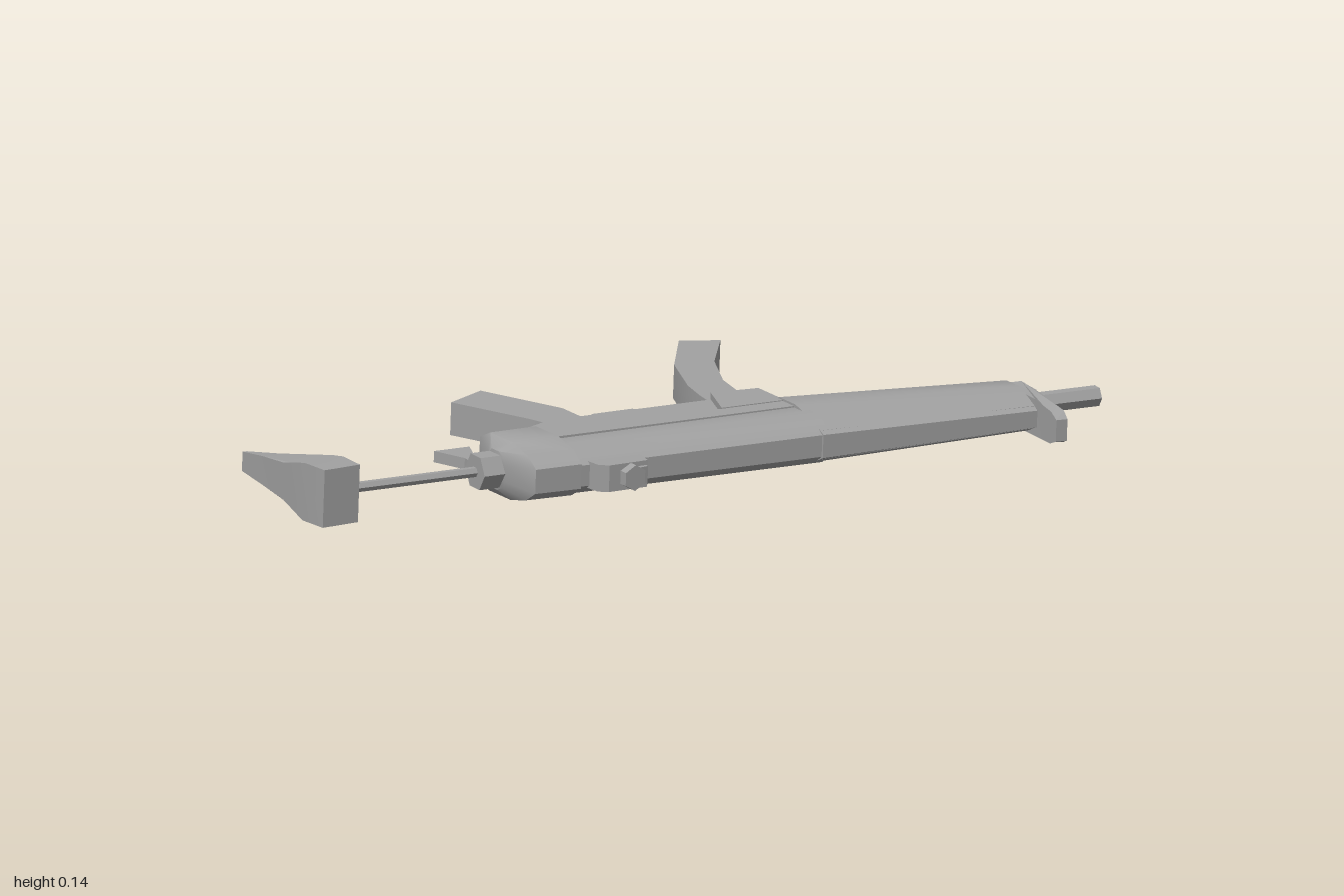
import * as THREE from 'three';
import { toCreasedNormals } from 'three/addons/utils/BufferGeometryUtils.js';

const grey = new THREE.MeshStandardMaterial({ color: 0xa0a0a0 });
grey.name = 'grey';

export function createModel() {
  const model = new THREE.Group();
  model.name = 'model';
  // the whole model lies on its side with a slight roll
  const body = new THREE.Group();
  body.name = 'body';
  body.rotation.x = 0.058;
  body.position.y = 0.083;
  model.add(body);

  function add(name, geometry, crease = 0.6) {
    const mesh = new THREE.Mesh(toCreasedNormals(geometry, crease), grey);
    mesh.name = name;
    body.add(mesh);
    return mesh;
  }

  // plan outline [x, z] given thickness in y; thickness may depend on z
  function plate(name, points, thickness, hole) {
    const toVec = ([x, z]) => new THREE.Vector2(x, -z);
    const shape = new THREE.Shape(points.map(toVec));
    if (hole) shape.holes.push(new THREE.Path(hole.map(toVec)));
    const g = new THREE.ExtrudeGeometry(shape, { depth: 1, bevelEnabled: false });
    g.translate(0, 0, -0.5).rotateX(-Math.PI / 2);
    const p = g.attributes.position;
    for (let i = 0; i < p.count; i++) {
      const w = typeof thickness === 'function' ? thickness(p.getZ(i)) : thickness;
      p.setY(i, p.getY(i) * w);
    }
    return add(name, g, 0.45);
  }

  // half section [u, v] swept through stations [x, zLow, zHigh, halfWidth]
  function loft(name, half, stations) {
    const ring = [...half, ...half.filter(h => h[1] > 0).reverse().map(([u, v]) => [u, -v])];
    const n = ring.length, pos = [], idx = [];
    for (const [x, z0, z1, w] of stations)
      for (const [u, v] of ring) pos.push(x, v * w, z0 + (z1 - z0) * u);
    const last = (stations.length - 1) * n;
    for (let s = 0; s < last; s += n)
      for (let j = 0; j < n; j++) {
        const k = (j + 1) % n;
        idx.push(s + j, s + k, s + n + k, s + j, s + n + k, s + n + j);
      }
    for (let j = 1; j < n - 1; j++) idx.push(0, j + 1, j, last, last + j, last + j + 1);
    const g = new THREE.BufferGeometry();
    g.setAttribute('position', new THREE.Float32BufferAttribute(pos, 3));
    g.setIndex(idx);
    return add(name, g, 0.75);
  }

  // six-sided rod between two plan points
  function rod(name, [x0, z0], [x1, z1], radius, sides = 6) {
    const g = new THREE.CylinderGeometry(radius, radius, Math.hypot(x1 - x0, z1 - z0), sides);
    g.rotateZ(-Math.PI / 2);
    const mesh = add(name, g);
    mesh.rotation.y = -Math.atan2(z1 - z0, x1 - x0);
    mesh.position.set((x0 + x1) / 2, 0, (z0 + z1) / 2);
    return mesh;
  }

  // main housing
  const rounded = [[0, 0.7], [0.18, 1], [0.58, 1], [0.84, 0.78], [1, 0.42]];
  loft('receiver', rounded, [[-0.4, 0.07, 0.222, 0.058], [0.25, 0.11, 0.285, 0.06]]);
  loft('rearBlock', rounded, [
    [-0.52, 0.06, 0.13, 0.045], [-0.495, -0.01, 0.213, 0.067], [-0.38, 0.0, 0.226, 0.068],
  ]);
  plate('lowerReceiver', [[-0.39, 0.13], [-0.39, 0.0], [-0.29, -0.035], [-0.2, -0.025],
    [0.14, 0.005], [0.23, 0.02], [0.24, 0.16]], 0.1);
  plate('sideRidge', [[-0.385, 0.07], [0.24, 0.125], [0.24, 0.17], [-0.385, 0.115]], 0.126);
  plate('magazineWell', [[0.12, 0.0], [0.075, 0.11], [0.235, 0.125], [0.235, 0.02]], 0.13);

  // tapered fore-end with its upper tube
  const wedge = [[0, 0], [0.12, 0.45], [0.35, 1], [0.6, 1], [0.85, 0.75], [1, 0.5]];
  loft('handguard', wedge, [[0.23, 0.02, 0.275, 0.068], [0.785, 0.13, 0.32, 0.052]]);
  loft('upperTube', [[0, 1], [0.6, 1], [1, 0.6]],
    [[0.23, 0.2, 0.288, 0.045], [0.785, 0.25, 0.336, 0.032]]);

  // barrel and front sight
  rod('barrel', [0.76, 0.222], [0.997, 0.247], 0.024);
  rod('barrelCollar', [0.775, 0.225], [0.83, 0.23], 0.045);
  plate('frontSight', [[0.785, 0.185], [0.83, 0.19], [0.815, 0.29], [0.795, 0.41], [0.787, 0.437],
    [0.76, 0.433], [0.764, 0.405], [0.778, 0.32]], z => z > 0.425 ? 0.05 : z > 0.38 ? 0.074 : 0.085);

  // rear sight with drum
  plate('rearSightBase', [[-0.36, 0.21], [-0.355, 0.255], [-0.335, 0.27], [-0.235, 0.275],
    [-0.225, 0.22]], 0.062);
  const drum = add('rearSightDrum', new THREE.CylinderGeometry(0.03, 0.03, 0.05, 6).rotateX(Math.PI / 2));
  drum.position.set(-0.28, 0, 0.268);
  plate('rearSightKnob', [[-0.262, 0.25], [-0.262, 0.285], [-0.24, 0.283], [-0.238, 0.25]], 0.04);

  // curved magazine and grip
  plate('magazine', [[0.12, 0.03], [0.135, -0.06], [0.155, -0.14], [0.22, -0.29], [0.335, -0.44],
    [0.42, -0.4], [0.315, -0.27], [0.25, -0.14], [0.23, -0.05], [0.225, 0.04]], 0.078);
  plate('grip', [[-0.385, -0.285], [-0.275, -0.33], [-0.19, -0.13], [-0.19, -0.01],
    [-0.3, 0.0], [-0.285, -0.04], [-0.305, -0.1]], 0.076);

  // trigger and guard
  plate('triggerGuard', [[-0.2, -0.01], [-0.2, -0.08], [-0.16, -0.1], [-0.11, -0.125], [-0.01, -0.117],
    [0.005, -0.09], [0.03, 0.0]], 0.03,
  [[-0.185, -0.025], [-0.175, -0.085], [-0.105, -0.113], [-0.018, -0.105], [-0.006, -0.085], [0.01, -0.01]]);
  plate('trigger', [[-0.135, -0.01], [-0.115, -0.045], [-0.08, -0.1], [-0.092, -0.05], [-0.075, -0.01]], 0.022);

  // collar, sling loop, stock rod and butt pad
  rod('rearCollar', [-0.57, 0.083], [-0.515, 0.087], 0.043);
  plate('slingLoop', [[-0.585, -0.058], [-0.495, -0.05], [-0.53, 0.025], [-0.525, 0.06],
    [-0.56, 0.06], [-0.555, 0.02]], 0.026);
  rod('stockRod', [-0.92, 0.053], [-0.56, 0.084], 0.012);
  plate('buttPad', [[-0.985, -0.23], [-0.975, -0.228], [-0.94, -0.15], [-0.915, -0.06], [-0.907, 0.01],
    [-0.892, 0.03], [-0.895, 0.1], [-0.99, 0.1], [-0.997, 0.03], [-0.99, -0.06], [-0.985, -0.15]],
  z => z > 0.005 ? 0.134 : z > -0.1 ? 0.085 : z > -0.2 ? 0.066 : 0.045);
  return model;
}
